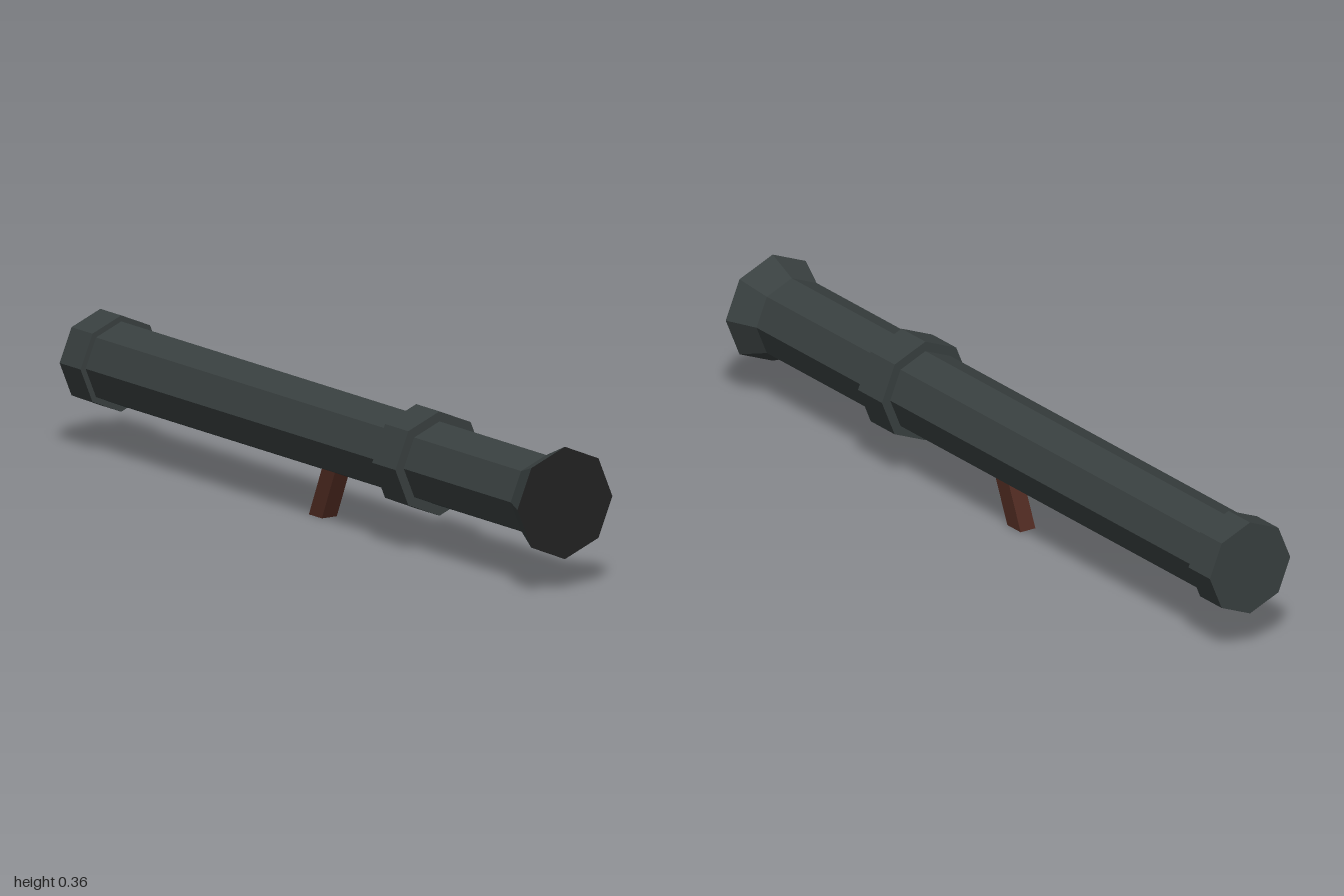
import * as THREE from 'three';

export function createModel() {
  const model = new THREE.Group();
  const mat = (name, color) => {
    const m = new THREE.MeshStandardMaterial({ color, flatShading: true });
    m.name = name;
    return m;
  };
  const metal = mat('gunmetal', 0x394040);
  const dark = mat('bore black', 0x222222);
  const wood = mat('brown grip', 0x4e2a21);
  const axisY = 0.22;

  // Octagonal section along z, from z0 (radius r0) to z1 (radius r1)
  const section = (name, z0, r0, z1, r1, frontMaterial = metal) => {
    const geo = new THREE.CylinderGeometry(r1, r0, z1 - z0, 8);
    geo.rotateX(Math.PI / 2);
    const mesh = new THREE.Mesh(geo, [metal, frontMaterial, metal]);
    mesh.name = name;
    mesh.position.set(0, axisY, (z0 + z1) / 2);
    model.add(mesh);
  };

  section('tube', -0.95, 0.105, 0.92, 0.105);
  section('rearCap', -1, 0.12, -0.91, 0.12);
  section('collar', 0.36, 0.13, 0.46, 0.13);
  section('muzzleFlare', 0.92, 0.105, 1, 0.14, dark);

  // Grip: a box sheared backwards towards its foot
  const height = 0.13;
  const gripGeo = new THREE.BoxGeometry(0.044, height, 0.056);
  gripGeo.translate(0, height / 2, 0);
  const p = gripGeo.attributes.position;
  for (let i = 0; i < p.count; i++) p.setZ(i, p.getZ(i) - 0.042 + 0.45 * p.getY(i));
  gripGeo.computeVertexNormals();
  const grip = new THREE.Mesh(gripGeo, wood);
  grip.name = 'grip';
  model.add(grip);

  return model;
}
